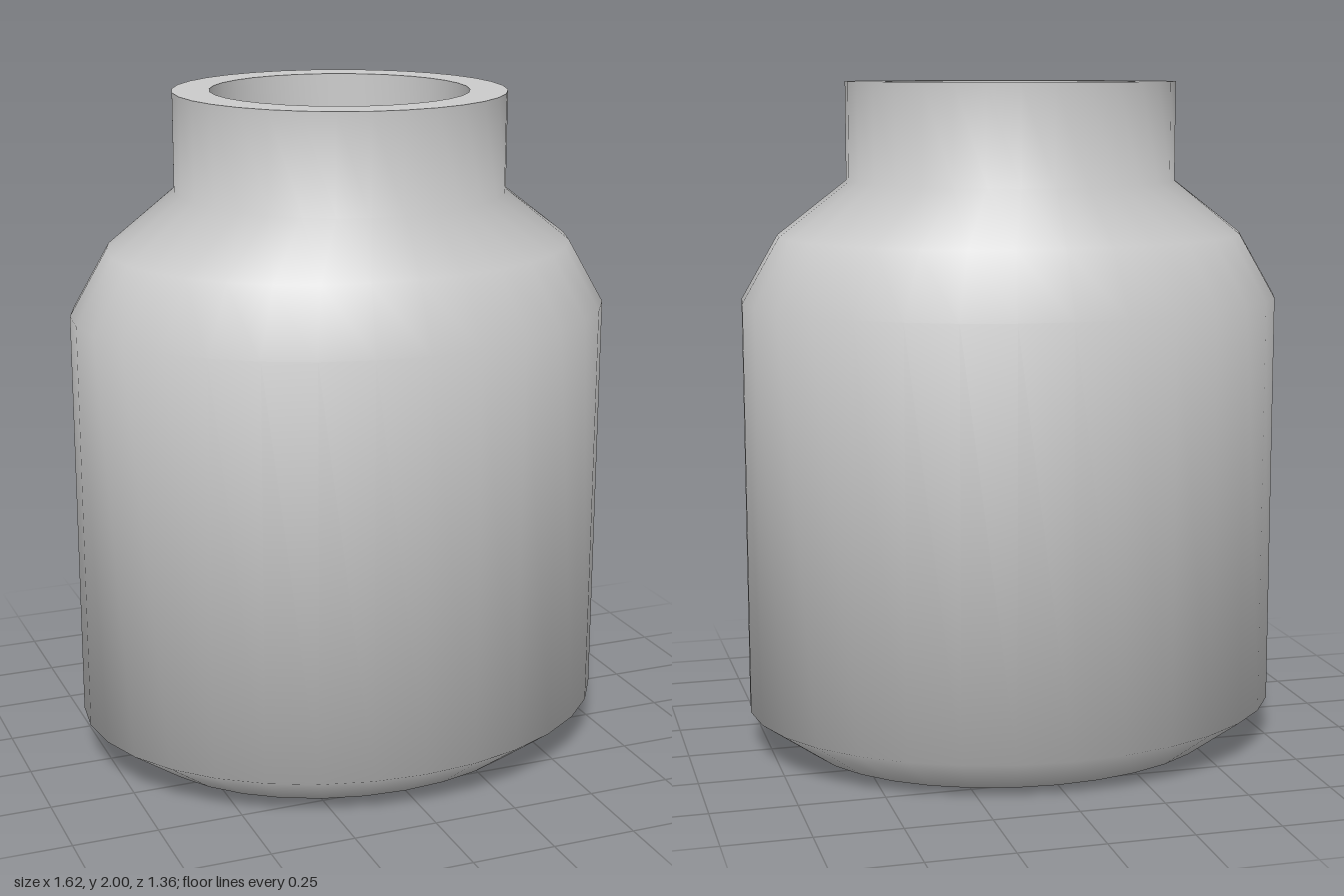
import * as THREE from 'three';
import { toCreasedNormals } from 'three/addons/utils/BufferGeometryUtils.js';

const SEGMENTS = 32;
const CREASE = 1.0;

// Lathe whose levels are [half width in x, half depth in z, height]
function ovalLathe(levels) {
  const points = levels.map(([rx, , y]) => new THREE.Vector2(rx, y));
  const geometry = new THREE.LatheGeometry(points, SEGMENTS);
  const pos = geometry.attributes.position;
  for (let i = 0; i < pos.count; i++) {
    const [rx, rz] = levels[i % levels.length];
    if (rx > 0) pos.setZ(i, pos.getZ(i) * rz / rx);
  }
  return toCreasedNormals(geometry, CREASE);
}

export function createModel() {
  const group = new THREE.Group();
  group.name = 'jar';
  const material = new THREE.MeshStandardMaterial({ color: 0xcccccc });
  const add = (name, levels) => {
    const mesh = new THREE.Mesh(ovalLathe(levels), material);
    mesh.name = name;
    group.add(mesh);
  };

  // Oval body with bevelled base and shoulders blending into the round neck and flat rim
  add('bodyAndNeck', [
    [0, 0, 0],
    [0.64, 0.53, 0],
    [0.81, 0.68, 0.12],
    [0.81, 0.68, 1.36],
    [0.7, 0.59, 1.55],
    [0.49, 0.49, 1.71],
    [0.49, 0.49, 2],
    [0.38, 0.38, 2],
    [0.38, 0.38, 1.7],
  ]);

  // Shallow dished floor inside the mouth, listed from the centre outwards
  const mouth = 0.38, floorY = 1.7, dip = 0.1, steps = 6;
  const dish = [];
  for (let i = steps; i >= 0; i--) {
    const t = i / steps;
    dish.push([mouth * t, mouth * t, floorY - dip * (1 - t * t)]);
  }
  add('mouthFloor', dish);

  return group;
}
